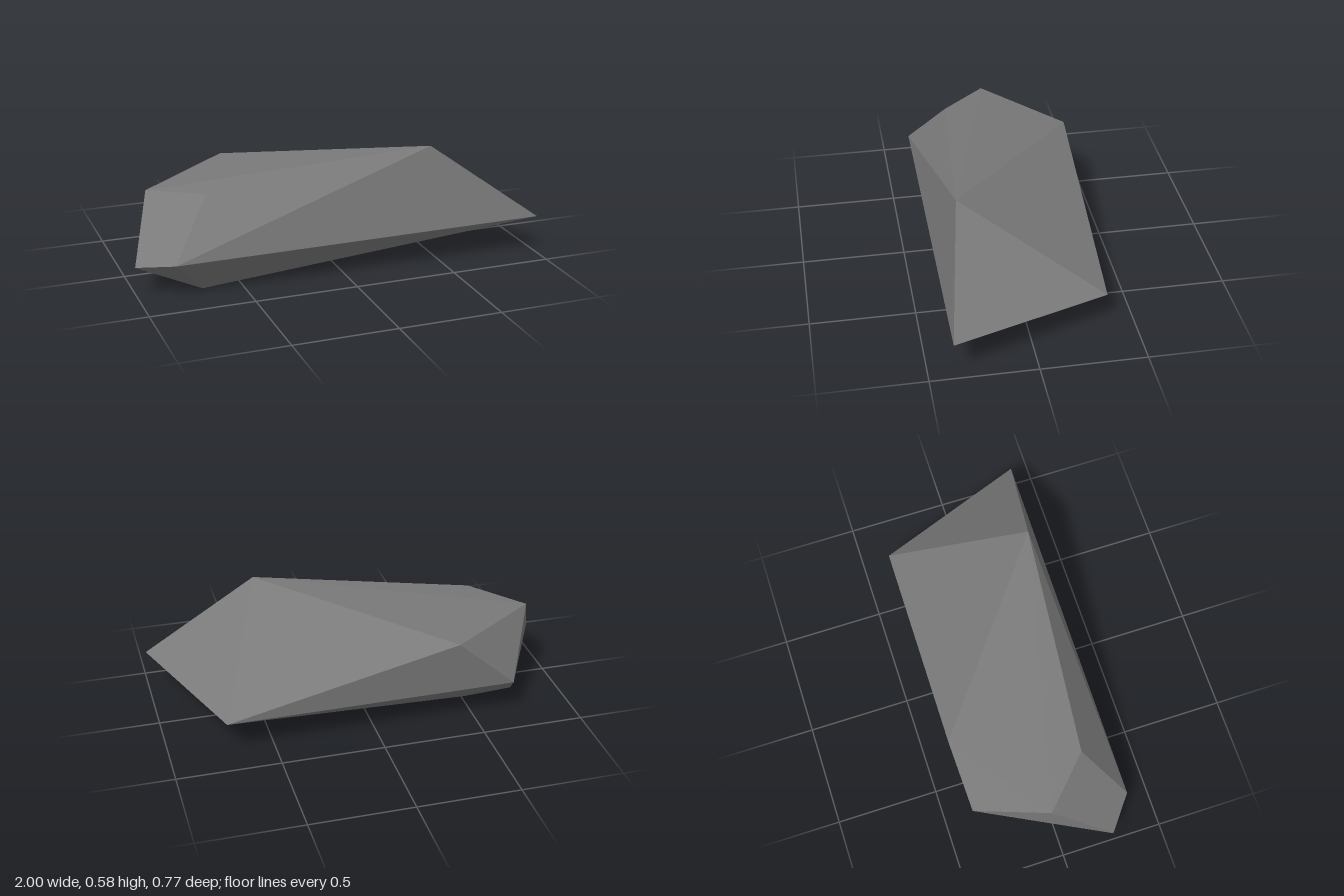
import * as THREE from 'three';
import { ConvexGeometry } from 'three/addons/geometries/ConvexGeometry.js';

// Corners of the faceted stone, by level
const crown = [
  [0.455, 0.583, 0.292], // peak
  [-0.4, 0.437, -0.388],
  [-0.873, 0.412, -0.03],
  [-0.64, 0.437, 0.195],
];
const waist = [
  [1, 0.187, 0.386],
  [0.728, 0.167, -0.367],
  [-0.692, 0.173, -0.365],
  [-1, 0.14, 0.25],
  [-0.838, 0.172, 0.376],
];
const base = [
  [-0.688, 0, 0.267],
  [0.31, 0.018, -0.03],
  [-0.51, 0.016, -0.18],
  [-0.71, 0.092, -0.279],
];

export function createModel() {
  const group = new THREE.Group();
  group.name = 'rock';

  const stone = new THREE.MeshStandardMaterial({ color: 0x7a7a7a, flatShading: true });
  stone.name = 'grey stone';

  // Convex boulder with flat facets
  const corners = [...crown, ...waist, ...base].map((p) => new THREE.Vector3(...p));
  const boulder = new THREE.Mesh(new ConvexGeometry(corners), stone);
  boulder.name = 'boulder';
  group.add(boulder);
  return group;
}
